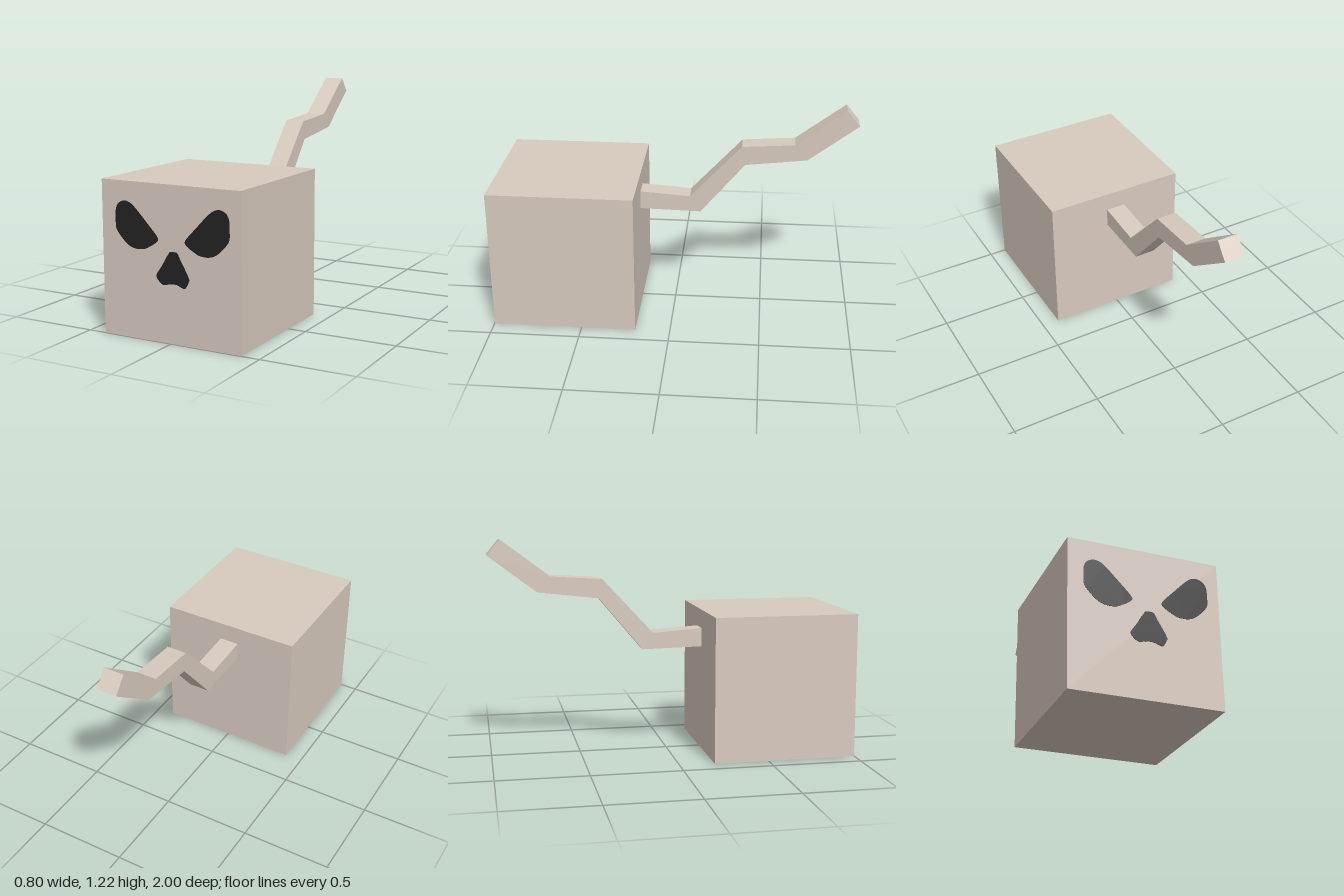
import * as THREE from 'three';

export function createModel() {
  const group = new THREE.Group();
  const bone = new THREE.MeshStandardMaterial({ color: 0xd8cabe });
  bone.name = 'bone beige';
  const black = new THREE.MeshStandardMaterial({ color: 0x232323 });
  black.name = 'hollow black';

  const add = (name, geometry, material) => {
    const mesh = new THREE.Mesh(geometry, material);
    mesh.name = name;
    group.add(mesh);
    return mesh;
  };
  const vectors = (points) => points.map(([x, y]) => new THREE.Vector2(x, y));

  // Cubic head
  const FRONT = 0.998;
  add('head', new THREE.BoxGeometry(0.804, 0.805, 0.803), bone)
    .position.set(0, 0.4025, FRONT - 0.4015);

  // Kinked tail: side profile in (z, y), extruded across x
  const tailProfile = vectors([
    [0.2, 0.7], [-0.085, 0.68], [-0.37, 0.99], [-0.66, 1.01], [-0.93, 1.215],
    [-1, 1.13], [-0.73, 0.923], [-0.39, 0.883], [-0.145, 0.588], [0.2, 0.595],
  ]);
  const tail = new THREE.ExtrudeGeometry(new THREE.Shape(tailProfile), { depth: 0.112, bevelEnabled: false });
  tail.translate(0, 0, -0.056).rotateY(-Math.PI / 2);
  add('tail', tail, bone);

  // Thin face plates with rounded outlines
  const plate = (name, points) => {
    const [first, ...rest] = vectors(points);
    const shape = new THREE.Shape().moveTo(first.x, first.y);
    shape.splineThru([...rest, first.clone()]);
    const geometry = new THREE.ExtrudeGeometry(shape, { depth: 0.002, bevelEnabled: false, curveSegments: 3 });
    add(name, geometry, black).position.z = FRONT;
  };

  // Slanted eye sockets, mirrored about the face's slightly offset middle
  const MIDDLE = 0.01;
  const eye = [
    [0.33, 0.6], [0.328, 0.655], [0.312, 0.688], [0.277, 0.704], [0.24, 0.695],
    [0.2, 0.662], [0.14, 0.6], [0.084, 0.54], [0.084, 0.513], [0.14, 0.477],
    [0.175, 0.466], [0.22, 0.467], [0.262, 0.485], [0.308, 0.53], [0.328, 0.562],
  ];
  for (const [name, side] of [['leftEye', 1], ['rightEye', -1]]) {
    plate(name, eye.map(([x, y]) => [MIDDLE + side * x, y]));
  }

  // Nose hollow
  plate('nose', [
    [0, 0.469], [0.04, 0.469], [0.06, 0.437], [0.108, 0.35], [0.107, 0.328],
    [0.088, 0.295], [0.068, 0.296], [0.04, 0.307], [0, 0.307], [-0.035, 0.298],
    [-0.06, 0.31], [-0.08, 0.335], [-0.075, 0.355], [-0.05, 0.39], [-0.02, 0.44],
  ]);

  return group;
}
